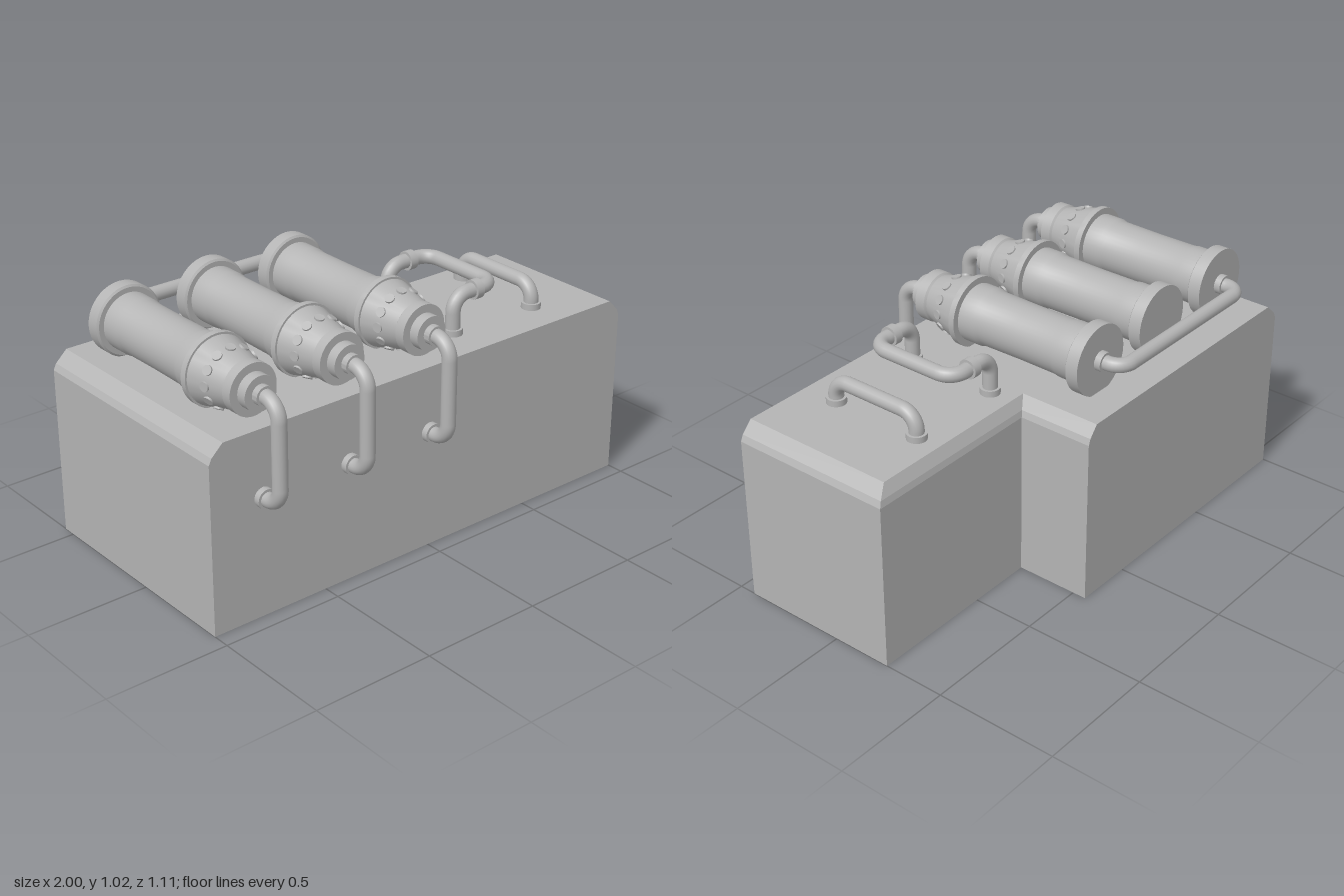
import * as THREE from 'three';
import { toCreasedNormals } from 'three/addons/utils/BufferGeometryUtils.js';

export function createModel() {
  const model = new THREE.Group();
  const grey = new THREE.MeshStandardMaterial({ color: 0xb4b4b4, side: THREE.DoubleSide });
  grey.name = 'grey metal';

  const add = (name, geometry, parent = model) => {
    const mesh = new THREE.Mesh(geometry, grey);
    mesh.name = name;
    parent.add(mesh);
    return mesh;
  };

  // Housing: L-shaped shell, open below, with bevelled end edges.
  // Each corner: x, z, and the bevel's inset in x and z.
  const corners = [
    [-1, 0.43, 0.06, 0], [1, 0.43, -0.055, 0], [1, -0.247, -0.055, 0.03],
    [0.235, -0.247, -0.045, 0.03], [0.235, -0.555, -0.045, 0], [-1, -0.555, 0.06, 0],
  ];
  const levels = [[0, 0], [0.68, 0], [0.705, 0.2], [0.75, 1]];
  const at = (i, l) => {
    const [x, z, dx, dz] = corners[i % corners.length];
    const [y, t] = levels[l];
    return [x + dx * t, y, z + dz * t];
  };
  const walls = [];
  for (let l = 0; l < levels.length - 1; l++) {
    for (let i = 0; i < corners.length; i++) {
      const a = at(i, l), b = at(i + 1, l), c = at(i + 1, l + 1), d = at(i, l + 1);
      walls.push(...a, ...b, ...c, ...a, ...c, ...d);
    }
  }
  const wallGeometry = new THREE.BufferGeometry();
  wallGeometry.setAttribute('position', new THREE.Float32BufferAttribute(walls, 3));
  wallGeometry.computeVertexNormals();
  add('housingWalls', wallGeometry);
  const topShape = new THREE.Shape(corners.map((c, i) => {
    const [x, , z] = at(i, 3);
    return new THREE.Vector2(x, -z);
  }));
  add('housingTop', new THREE.ShapeGeometry(topShape).rotateX(-Math.PI / 2).translate(0, 0.75, 0));

  // Pipe through the given points with rounded corners
  function pipe(name, points, bend = 0.065, radius = 0.029) {
    const p = points.map((q) => new THREE.Vector3(...q));
    const path = new THREE.CurvePath();
    let start = p[0];
    for (let i = 1; i < p.length - 1; i++) {
      const before = p[i].clone().add(p[i - 1].clone().sub(p[i]).setLength(bend));
      const after = p[i].clone().add(p[i + 1].clone().sub(p[i]).setLength(bend));
      path.add(new THREE.LineCurve3(start, before));
      path.add(new THREE.CubicBezierCurve3(before, before.clone().lerp(p[i], 0.55),
        after.clone().lerp(p[i], 0.55), after));
      start = after;
    }
    path.add(new THREE.LineCurve3(start, p[p.length - 1]));
    add(name, new THREE.TubeGeometry(path, 90, radius, 16));
  }

  // Collar centred on a point, lying along an axis
  function collar(name, position, axis, length, radius = 0.039) {
    const g = new THREE.CylinderGeometry(radius, radius, length, 24);
    if (axis === 'z') g.rotateX(Math.PI / 2);
    if (axis === 'x') g.rotateZ(Math.PI / 2);
    add(name, g.translate(...position));
  }

  // Canister: turned body with flanges, tapered nose and stepped neck
  const axisY = 0.881;
  const profile = [
    [0, -0.424], [0.141, -0.424], [0.141, -0.372], [0.133, -0.366], [0.113, -0.366],
    [0.112, -0.29], [0.108, -0.27], [0.107, -0.1], [0.109, 0.07], [0.115, 0.09], [0.115, 0.16],
    [0.141, 0.16], [0.141, 0.185], [0.133, 0.185], [0.093, 0.338], [0.1, 0.345],
    [0.1, 0.388], [0.068, 0.388], [0.068, 0.43], [0.038, 0.43], [0.038, 0.457], [0, 0.457],
  ].map(([r, z]) => new THREE.Vector2(r, z));
  const canisterGeometry = toCreasedNormals(
    new THREE.LatheGeometry(profile, 40).rotateX(Math.PI / 2), 0.5);
  const studGeometry = new THREE.CylinderGeometry(0.019, 0.019, 0.014, 16)
    .rotateX(0.256).translate(0, 0.112, 0.262);

  [-0.775, -0.385, 0].forEach((x) => {
    const canister = new THREE.Group();
    canister.name = 'canister';
    canister.position.set(x, axisY, 0);
    model.add(canister);
    add('canisterBody', canisterGeometry, canister);
    // Ring of studs round the nose
    for (let i = 0; i < 12; i++) {
      add('noseStud', studGeometry, canister).rotation.z = i * Math.PI / 6;
    }
    // Feed pipe looping down into the front wall
    pipe('feedPipe', [[x, axisY, 0.44], [x, axisY, 0.529], [x, 0.484, 0.529], [x, 0.484, 0.43]], 0.07);
    collar('wallCollar', [x, 0.484, 0.437], 'z', 0.036);
  });

  // Rear pipe joining the outer canisters
  pipe('rearPipe', [[-0.775, axisY, -0.42], [-0.775, axisY, -0.52], [0, axisY, -0.52], [0, axisY, -0.42]], 0.06);
  [-0.775, 0].forEach((x) => collar('rearCollar', [x, axisY, -0.435], 'z', 0.03));

  // Overhanging loop pipe and straight bridge pipe on the low section
  const [zFront, zBack] = [0.262, -0.118];
  pipe('loopPipe', [[0.26, 0.75, zBack], [0.26, 0.904, zBack], [0.47, 0.904, zBack],
    [0.47, 0.904, zFront], [0.26, 0.904, zFront], [0.26, 0.75, zFront]], 0.065);
  pipe('bridgePipe', [[0.665, 0.75, zBack], [0.665, 0.848, zBack],
    [0.665, 0.848, zFront + 0.01], [0.665, 0.75, zFront + 0.01]]);
  [zFront, zBack].forEach((z) => {
    collar('loopJoint', [0.37, 0.904, z], 'x', 0.034);
    collar('loopFoot', [0.26, 0.762, z], 'y', 0.026);
    collar('bridgeFoot', [0.665, 0.762, z === zFront ? z + 0.01 : z], 'y', 0.026);
  });

  return model;
}
